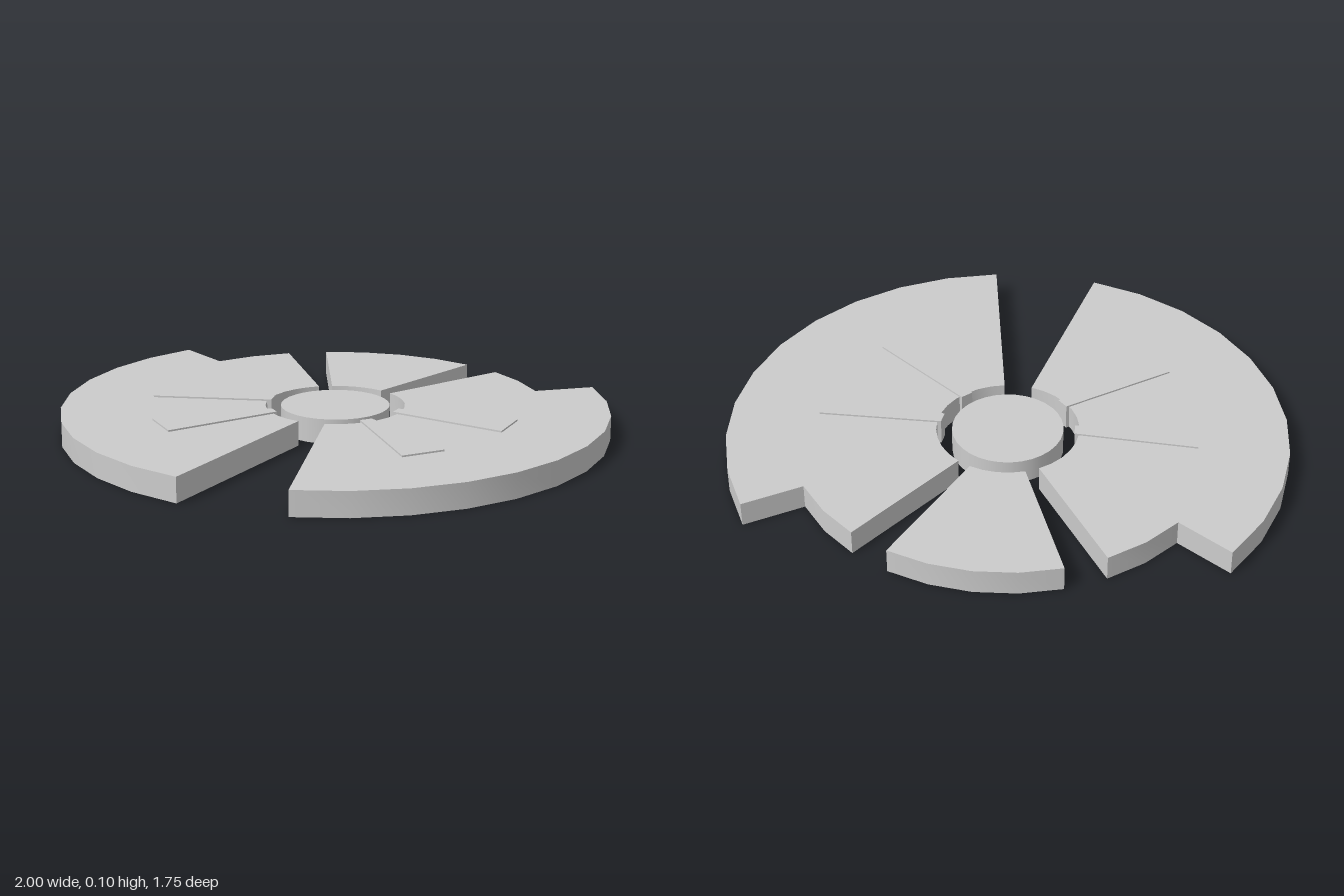
import * as THREE from 'three';
import { toCreasedNormals } from 'three/addons/utils/BufferGeometryUtils.js';

const H = 0.091;          // plate thickness
const CZ = -0.104;        // z of the disc centre
const STEP = 11.25;       // degrees per rim segment
const R_IN = 0.255, R_SHORT = 0.773, R_OUT = 1;

// Points [x, z] along an arc; angles in degrees, from +x towards the front
function arc(r, from, to) {
  const n = Math.round(Math.abs(to - from) / STEP);
  return Array.from({ length: n + 1 }, (_, i) => {
    const a = THREE.MathUtils.degToRad(from + (to - from) * i / n);
    return [r * Math.cos(a), CZ + r * Math.sin(a)];
  });
}

export function createModel() {
  const group = new THREE.Group();
  const material = new THREE.MeshStandardMaterial({ color: 0xcccccc });

  // Flat plate from a floor outline, optionally mirrored in x
  function plate(name, outline, side, y0, y1) {
    const shape = new THREE.Shape(outline.map(([x, z]) => new THREE.Vector2(x * side, -z)));
    const geo = new THREE.ExtrudeGeometry(shape, { depth: y1 - y0, bevelEnabled: false });
    geo.rotateX(-Math.PI / 2).translate(0, y0, 0);
    const mesh = new THREE.Mesh(toCreasedNormals(geo, 0.4), material);
    mesh.name = name;
    group.add(mesh);
  }

  // Tapered bar pointing outwards from its narrow inner end
  function taper(x, z, degrees) {
    const a = THREE.MathUtils.degToRad(degrees), c = Math.cos(a), s = Math.sin(a);
    return [[0, -0.023], [0.437, -0.08], [0.437, 0.08], [0, 0.023]]
      .map(([u, v]) => [x + u * c - v * s, z + u * s + v * c]);
  }

  // Central hub
  const hub = new THREE.Mesh(new THREE.CylinderGeometry(0.199, 0.199, H, 32), material);
  hub.name = 'hub';
  hub.position.set(0, H / 2, CZ);
  group.add(hub);

  // Short rear sector
  plate('rearSector', [...arc(R_SHORT, -112.5, -67.5), ...arc(R_IN, -67.5, -112.5)], 1, 0, H);

  // Large side sectors, stepped towards the rear, with raised tapered bars
  const sector = [
    ...arc(R_SHORT, -56.25, -33.75),
    ...arc(R_OUT, -33.75, 78.75),
    ...arc(R_IN, 78.75, -56.25),
  ];
  for (const [label, side] of [['left', 1], ['right', -1]]) {
    plate(label + 'Sector', sector, side, 0, H);
    plate(label + 'SideBar', taper(0.238, -0.087, 5.6), side, 0.001, 0.097);
    plate(label + 'FrontBar', taper(0.175, 0.06, 45), side, 0.001, 0.097);
  }
  return group;
}
